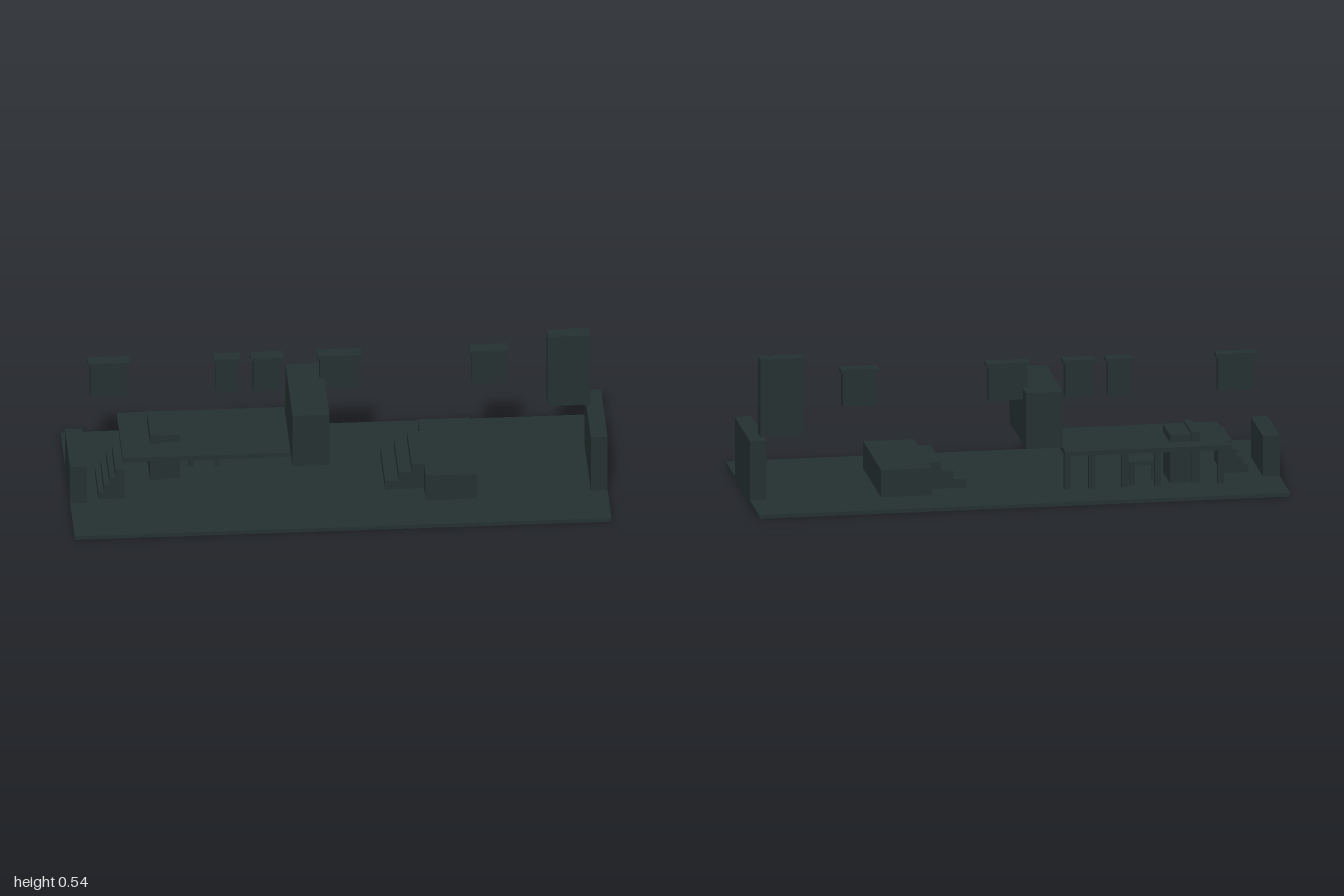
import * as THREE from 'three';

export function createModel() {
  const model = new THREE.Group();
  const slate = new THREE.MeshStandardMaterial({ color: 0x243031 });
  slate.name = 'darkSlate';

  // Box given by its limits on each axis
  function block(name, [x0, x1], [y0, y1], [z0, z1], parent = model) {
    const mesh = new THREE.Mesh(new THREE.BoxGeometry(x1 - x0, y1 - y0, z1 - z0), slate);
    mesh.position.set((x0 + x1) / 2, (y0 + y1) / 2, (z0 + z1) / 2);
    mesh.name = name;
    parent.add(mesh);
    return mesh;
  }
  function group(name) {
    const g = new THREE.Group();
    g.name = name;
    model.add(g);
    return g;
  }

  const floor = 0.015;
  block('ground', [-1, 1], [0, floor], [-0.387, 0.387]);

  // End walls
  block('leftEndWall', [-1, -0.937], [floor, 0.17], [-0.145, 0.14]);
  block('rightEndWall', [0.937, 1], [floor, 0.243], [-0.178, 0.177]);

  // Raised deck on a row of back posts
  const deck = group('deck');
  block('deckTop', [-0.8, -0.175], [0.153, 0.171], [-0.25, 0.09], deck);
  for (const x of [-0.767, -0.53, -0.406, -0.283, -0.19]) {
    block('deckPost', [x - 0.012, x + 0.012], [floor, 0.153], [-0.215, -0.192], deck);
  }

  // Stepped block that rises through the deck
  block('deckBlock', [-0.66, -0.58], [floor, 0.2], [-0.18, -0.02]);
  block('deckBlockEdge', [-0.692, -0.66], [floor, 0.21], [-0.185, -0.01]);

  // Low table under the deck
  const table = group('lowTable');
  block('tableTop', [-0.545, -0.425], [0.09, 0.105], [-0.19, -0.1], table);
  for (const x of [-0.532, -0.438]) {
    for (const z of [-0.18, -0.11]) {
      block('tableLeg', [x - 0.009, x + 0.009], [floor, 0.09], [z - 0.009, z + 0.009], table);
    }
  }

  // Stairs up to the deck
  const stairs = group('deckStairs');
  [[-0.893, 0.045], [-0.872, 0.075], [-0.851, 0.107], [-0.83, 0.142]].forEach(([x, top], i, all) => {
    const end = i < all.length - 1 ? all[i + 1][0] : -0.795;
    block('stair', [x, end], [floor, top], [-0.073, 0.117], stairs);
  });

  // Suspended block
  block('hangingBlock', [-0.175, -0.037], [0.172, 0.388], [-0.193, 0.193]);

  // Platform with steps
  const platform = group('platform');
  block('platformBlock', [0.32, 0.512], [floor, 0.12], [-0.212, 0.207], platform);
  [[0.175, 0.225, 0.05], [0.225, 0.273, 0.085], [0.273, 0.32, 0.12]].forEach(([x0, x1, top]) =>
    block('platformStep', [x0, x1], [floor, top], [-0.125, 0.117], platform));

  // Floating capped panels
  for (const [x0, x1] of [[-0.91, -0.772], [-0.443, -0.358], [-0.303, -0.197], [-0.055, 0.092], [0.512, 0.64]]) {
    const panel = group('cappedPanel');
    block('panelBody', [x0, x1], [0.343, 0.474], [-0.115, -0.075], panel);
    block('panelCap', [x0 - 0.008, x1 + 0.008], [0.474, 0.487], [-0.122, -0.07], panel);
  }

  // Tall panel beside the right wall
  block('tallPanel', [0.793, 0.952], [0.243, 0.54], [-0.121, -0.065]);

  return model;
}
